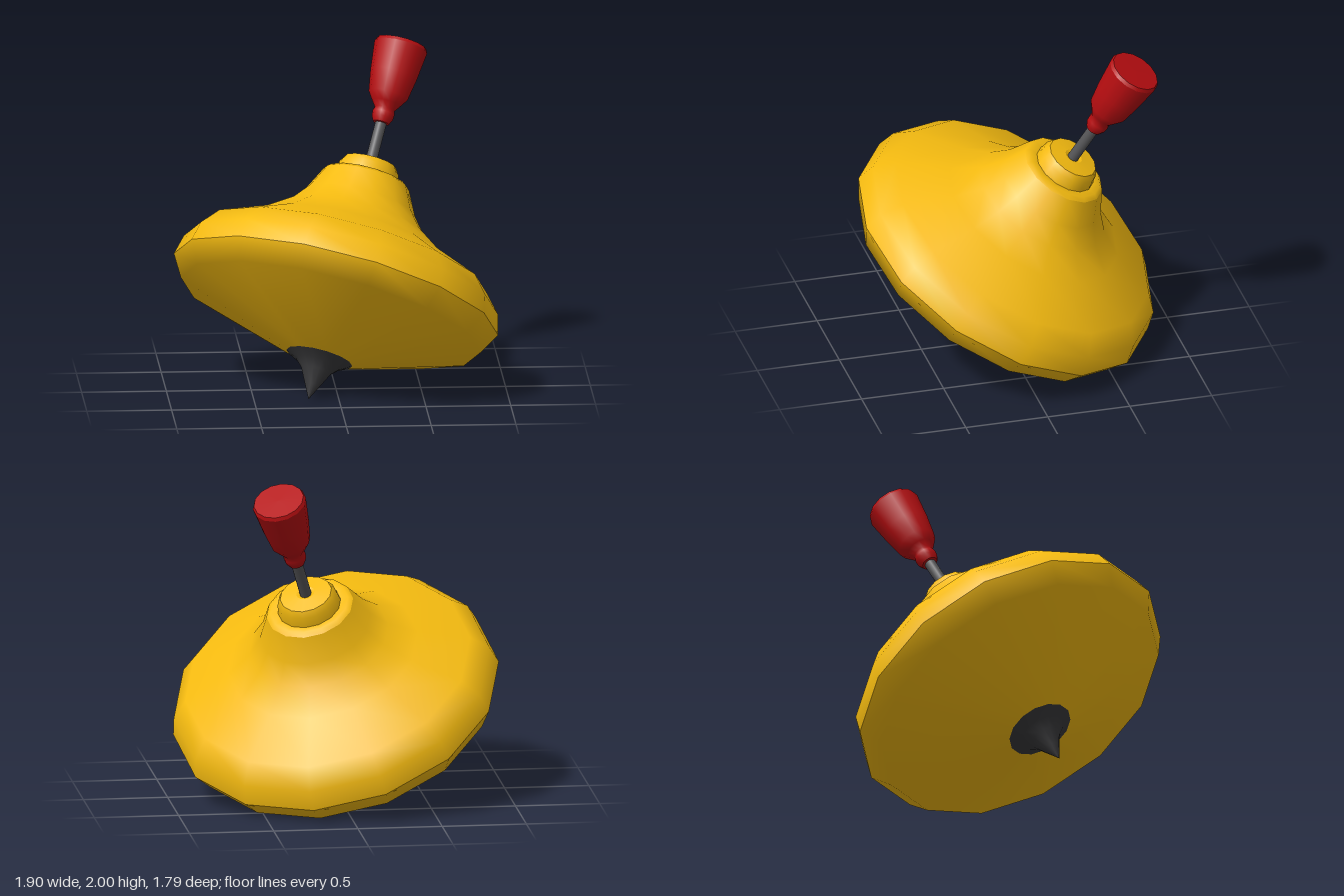
import * as THREE from 'three';

const SIDES = 14;

const material = (color) =>
  new THREE.MeshStandardMaterial({ color, side: THREE.DoubleSide });

// Turned part made of smooth shells; edges between shells stay sharp.
// Each profile point is [radius, distance from the tip].
function turned(name, mat, shells) {
  const part = new THREE.Group();
  part.name = name;
  shells.forEach((shell, i) => {
    const points = shell.map(([r, t]) => new THREE.Vector2(r, t));
    const mesh = new THREE.Mesh(new THREE.LatheGeometry(points, SIDES), mat);
    mesh.name = `${name}Shell${i + 1}`;
    part.add(mesh);
  });
  return part;
}

export function createModel() {
  const top = new THREE.Group();
  top.name = 'spinningTop';

  const yellow = material(0xf5bb10);
  const dark = material(0x38383a);
  const steel = material(0x555557);
  const red = material(0xb50d10);

  // Pointed foot flaring into the underside
  top.add(turned('tip', dark, [
    [[0, 0], [0.045, 0.09], [0.09, 0.18], [0.135, 0.225], [0.2, 0.26]],
  ]));

  // Wide body: underside, waisted upper shell, shoulder
  top.add(turned('body', yellow, [
    [[0.2, 0.26], [0.91, 0.53], [0.985, 0.66]],
    [[0.985, 0.66], [0.955, 0.78], [0.86, 0.89], [0.573, 1.02],
      [0.42, 1.13], [0.335, 1.235], [0.262, 1.38]],
    [[0.262, 1.38], [0.235, 1.4], [0.19, 1.395]],
  ]));

  // Stepped collar around the stem
  top.add(turned('collar', yellow, [
    [[0.19, 1.39], [0.178, 1.455], [0.155, 1.49]],
    [[0.155, 1.49], [0.055, 1.5]],
    [[0.055, 1.5], [0.03, 1.49]],
  ]));

  // Metal rod
  top.add(turned('stem', steel, [[[0.034, 1.45], [0.034, 1.78]]]));

  // Flared grip with a rounded ferrule and a flat end
  top.add(turned('handle', red, [
    [[0.03, 1.735], [0.048, 1.738]],
    [[0.048, 1.738], [0.064, 1.77], [0.066, 1.8], [0.06, 1.825],
      [0.085, 1.86], [0.118, 1.91], [0.14, 2.04], [0.16, 2.215]],
    [[0.16, 2.215], [0.15, 2.236]],
    [[0.15, 2.236], [0, 2.238]],
  ]));

  // Lean the whole toy so that it rests on its tip and rim
  const axis = new THREE.Vector3(0.273, 0.856, -0.438).normalize();
  const corner = new THREE.Vector3(0.955, -0.228, 0.15);
  const across = new THREE.Vector3().crossVectors(axis, corner).normalize();
  corner.crossVectors(across, axis);
  top.quaternion.setFromRotationMatrix(
    new THREE.Matrix4().makeBasis(across, axis, corner));
  top.position.set(-0.18, 0.01, 0.29);

  const model = new THREE.Group();
  model.name = 'leaningSpinningTop';
  model.add(top);
  return model;
}
